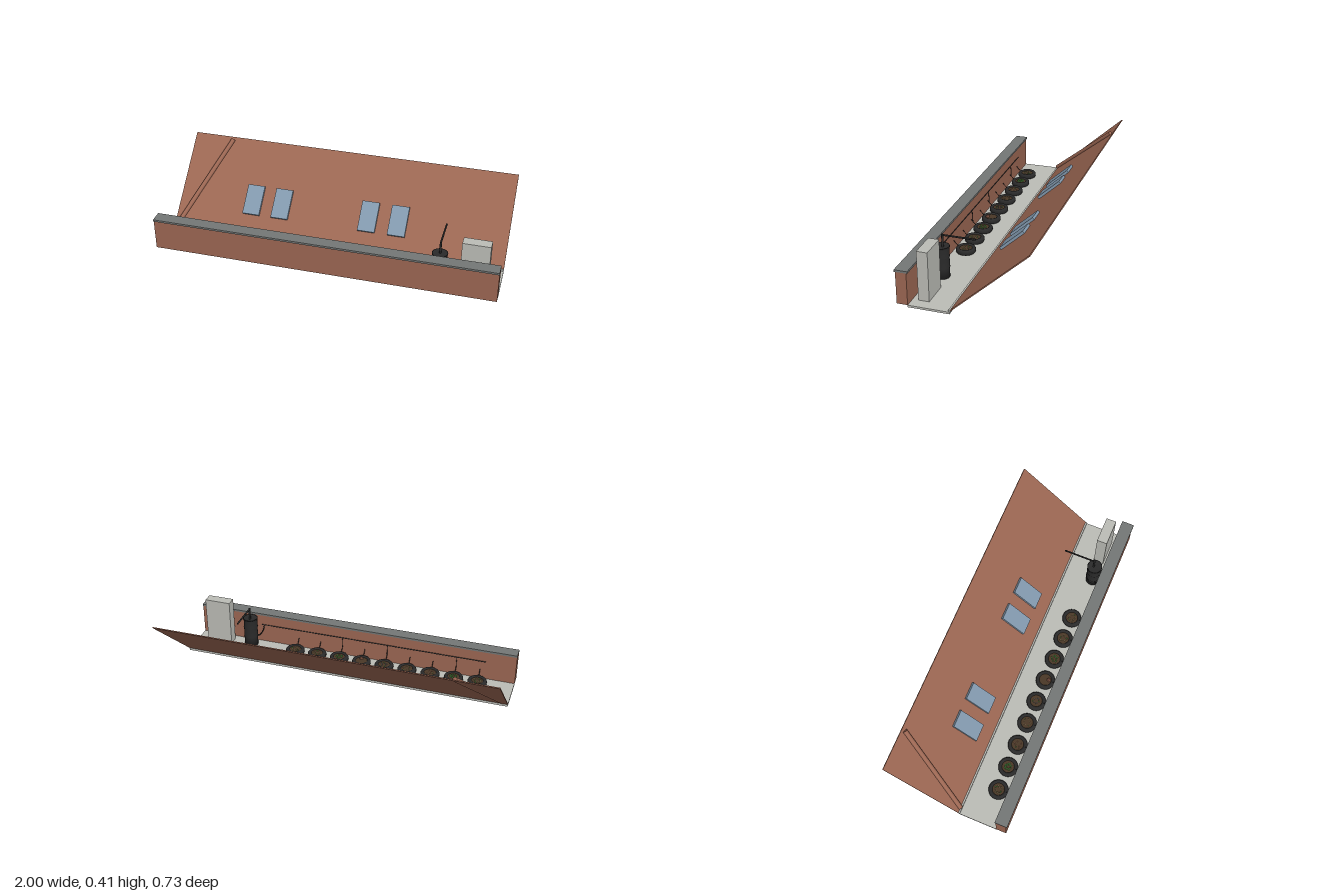
import * as THREE from 'three';

const mat = (name, color, side = THREE.FrontSide) => {
  const m = new THREE.MeshStandardMaterial({ color, side });
  m.name = name;
  return m;
};

export function createModel() {
  const root = new THREE.Group();
  const brick = mat('brick', 0x9c6753);
  const pale = mat('pale concrete', 0xbcbdb7);
  const slate = mat('slate grey', 0x747776);
  const glass = mat('glass blue', 0x8299ae);
  const black = mat('black rubber', 0x2a2a2a);
  const soil = mat('soil', 0x4a3827);
  const leaf = mat('leaf green', 0x4f9a44);
  const straw = mat('straw', 0xa59a6a);

  const add = (name, geo, material, parent = root, x = 0, y = 0, z = 0) => {
    const m = new THREE.Mesh(geo, material);
    m.name = name;
    m.position.set(x, y, z);
    parent.add(m);
    return m;
  };
  // Box given by its limits on each axis
  const box = (name, material, [x0, x1], [y0, y1], [z0, z1], parent = root) =>
    add(name, new THREE.BoxGeometry(x1 - x0, y1 - y0, z1 - z0), material, parent,
      (x0 + x1) / 2, (y0 + y1) / 2, (z0 + z1) / 2);
  // Round rod between two points
  const rod = (name, material, a, b, r, parent = root) => {
    const p = new THREE.Vector3(...a), q = new THREE.Vector3(...b);
    const d = q.clone().sub(p);
    const m = add(name, new THREE.CylinderGeometry(r, r, d.length(), 14), material, parent);
    m.position.copy(p).add(q).multiplyScalar(0.5);
    m.quaternion.setFromUnitVectors(new THREE.Vector3(0, 1, 0), d.normalize());
    return m;
  };
  const hose = (name, pts, r = 0.0018) =>
    add(name, new THREE.TubeGeometry(
      new THREE.CatmullRomCurve3(pts.map(p => new THREE.Vector3(...p))), 16, r, 6), black);

  // Terrace floor, parapet and coping
  box('floor', pale, [-1, 1], [0, 0.012], [0.066, 0.297]);
  box('parapetWall', brick, [-1, 1], [0.012, 0.196], [0.297, 0.358]);
  box('coping', slate, [-1, 1], [0.196, 0.208], [0.291, 0.365]);
  box('eaveStrip', pale, [-1, 1], [0.015, 0.025], [0.06, 0.072]);

  // Sloping roof: local -z runs up the slope, local y is the outward normal
  const roof = new THREE.Group();
  roof.name = 'roof';
  roof.position.set(0, 0.021, 0.062);
  roof.rotation.x = Math.atan2(0.382, 0.422);
  root.add(roof);
  box('roofPanel', brick, [-1, 1], [-0.003, 0.003], [-0.571, 0], roof);
  rod('hipRoll', brick, [-0.968, 0.008, -0.004], [-0.755, 0.008, -0.552], 0.0135, roof);
  for (const x of [-0.538, -0.36, 0.175, 0.355])
    box('skylight', glass, [x - 0.052, x + 0.052], [0.003, 0.019], [-0.28, -0.097], roof);

  // Chimney block
  box('chimney', pale, [0.776, 0.935], [0.012, 0.297], [0.204, 0.265]);

  // Water barrel with ribs and filler pipe
  const barrel = new THREE.Group();
  barrel.name = 'waterBarrel';
  barrel.position.set(0.656, 0.012, 0.243);
  root.add(barrel);
  const profile = [[0, 0], [0.042, 0], [0.042, 0.058], [0.0445, 0.061], [0.042, 0.064],
    [0.042, 0.121], [0.0445, 0.124], [0.042, 0.127], [0.042, 0.178], [0.045, 0.179],
    [0.045, 0.185], [0.041, 0.185], [0.04, 0.18], [0, 0.18]];
  add('barrelBody', new THREE.LatheGeometry(
    profile.map(p => new THREE.Vector2(...p)), 32), black, barrel);
  rod('fillerUpright', black, [0.656, 0.19, 0.236], [0.656, 0.267, 0.236], 0.006);
  rod('fillerArm', black, [0.656, 0.262, 0.24], [0.656, 0.262, 0.047], 0.005);

  // Watering line along the inside of the parapet
  hose('barrelHose', [[0.63, 0.06, 0.262], [0.61, 0.065, 0.277], [0.59, 0.1, 0.288], [0.585, 0.13, 0.293]], 0.003);
  rod('wateringLine', black, [0.6, 0.13, 0.294], [-0.82, 0.13, 0.294], 0.0025);

  // Row of tyre planters
  const tyreProfile = [[0.036, 0.004], [0.046, 0], [0.053, 0.004], [0.057, 0.012], [0.057, 0.024],
    [0.053, 0.031], [0.046, 0.035], [0.038, 0.032], [0.035, 0.026]].map(p => new THREE.Vector2(...p));
  const tyreGeo = new THREE.LatheGeometry(tyreProfile, 32);
  const soilGeo = new THREE.CylinderGeometry(0.037, 0.037, 0.02, 24);
  const tuftGeo = new THREE.IcosahedronGeometry(0.005, 0);
  // Crop in each planter: [material, number of tufts, ring radius, tuft scale]
  const crops = [[straw, 13, 0.024, 0.8], [leaf, 12, 0.02, 1.1], [brick, 7, 0.022, 0.7],
    [straw, 8, 0.024, 0.6], [slate, 8, 0.02, 0.8], [brick, 1, 0.02, 2.6],
    [leaf, 9, 0.02, 1], [straw, 8, 0.022, 0.8], [straw, 9, 0.024, 0.7]];
  crops.forEach(([material, count, ring, scale], i) => {
    const x = -0.789 + i * 0.143;
    const planter = new THREE.Group();
    planter.name = 'tyrePlanter';
    planter.position.set(x, 0.012, 0.222);
    root.add(planter);
    add('tyre', tyreGeo, black, planter);
    add('soilBed', soilGeo, soil, planter, 0, 0.017, 0);
    for (let k = 0; k < count; k++) {
      const a = k * 2.4 + i, r = count === 1 ? ring : ring * (0.35 + 0.65 * Math.sqrt((k + 1) / count));
      const m = k % 4 === 3 ? leaf : material;
      add('plant', tuftGeo, m, planter, r * Math.cos(a), 0.028, -r * Math.sin(a)).scale.setScalar(scale);
    }
    // Drip branches: long drops on some planters, short nozzles on all
    if ([1, 4, 6].includes(i))
      hose('dripDrop', [[x, 0.13, 0.294], [x, 0.118, 0.288], [x, 0.08, 0.286], [x, 0.065, 0.285]]);
    hose('dripNozzle', [[x, 0.075, 0.295], [x, 0.066, 0.288], [x, 0.055, 0.278], [x, 0.045, 0.268]]);
  });
  return root;
}
